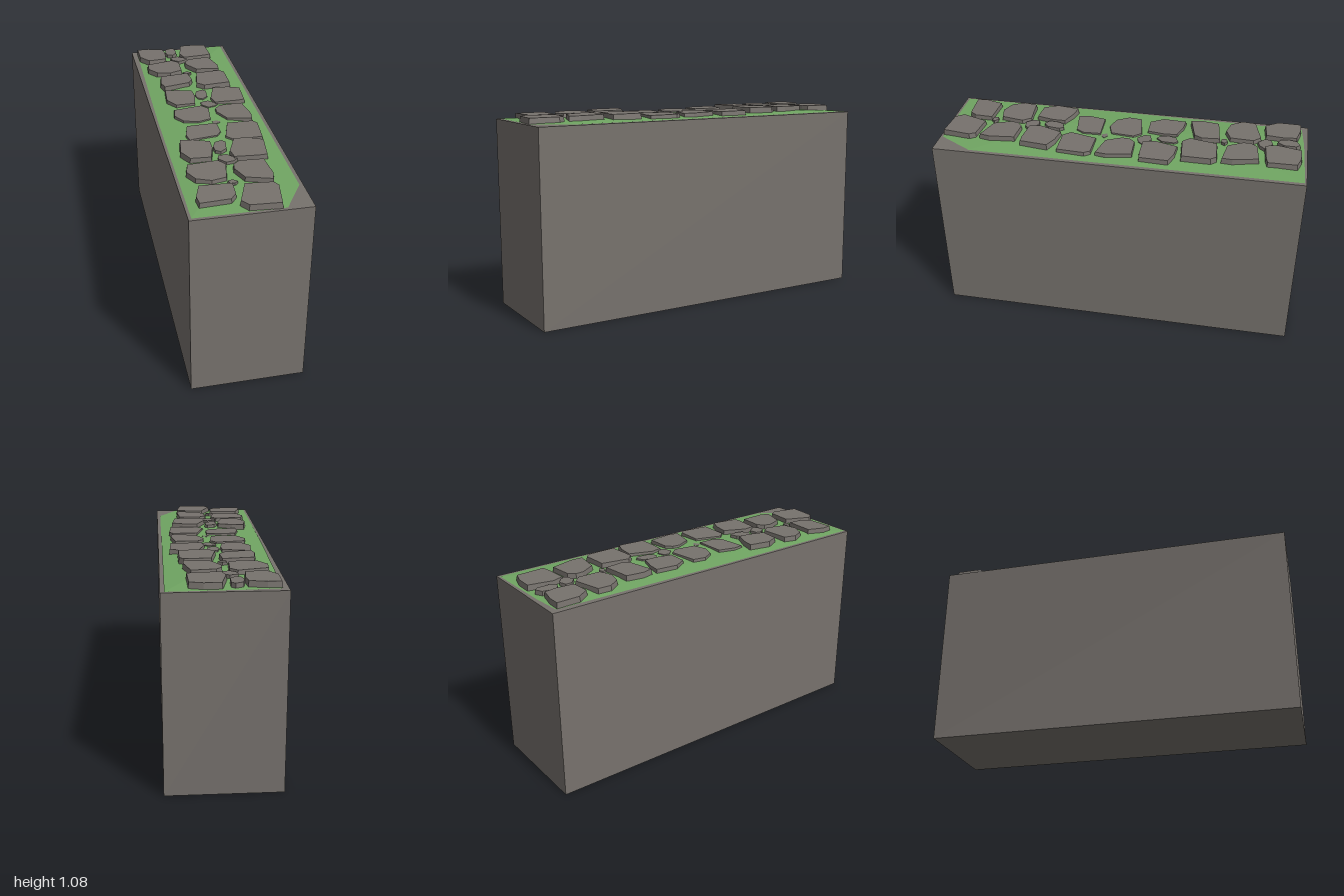
import * as THREE from 'three';
import { ConvexGeometry } from 'three/addons/geometries/ConvexGeometry.js';

const stoneMat = new THREE.MeshStandardMaterial({ color: 0x77726d });
stoneMat.name = 'stone grey';
const grassMat = new THREE.MeshStandardMaterial({ color: 0x70a562, flatShading: true, side: THREE.DoubleSide });
grassMat.name = 'grass green';

const BLOCK_TOP = 1.04;

// One cluster of paving stones: outlines as x, z pairs in hundredths, about the cluster centre.
const outlines = [
  { name: 'leftSlab', lift: 0, p: [-24, -31, -17, -31, -8, -29, -7, -22, -8, -12, -19, -11, -24, -18] },
  { name: 'pebble', lift: -0.006, p: [-6, -29, -2, -31, 0, -29, 0, -22, -3, -18.5, -6, -20, -7, -24] },
  { name: 'rightSlab', lift: 0.001, p: [4, -32, 13, -32, 20, -30, 20.5, -14, 16, -13, 3, -12, 1, -18.5] },
  { name: 'pebble', lift: -0.007, p: [-5, -15, -0.5, -16.5, 5, -12, 3, -9.5, -1, -8, -5, -11.5] },
  { name: 'leftSlab', lift: -0.002, p: [-21, -6, -5, -10, -1, -6, -1.5, 7, -9, 10, -17, 8, -21.5, 1.5] },
  { name: 'rightSlab', lift: 0.002, p: [5, -8.5, 18, -10, 21.5, 4, 21, 10, 7, 8, 2, -0.5, 2, -5] },
  { name: 'pebble', lift: -0.008, p: [-1.5, 9, 1, 8, 3.5, 9.5, 2, 11.5, -0.5, 11.5] },
  { name: 'leftSlab', lift: 0, p: [-16, 14, 1, 12, 2, 22, -0.5, 26.5, -16, 30, -17.5, 24] },
  { name: 'rightSlab', lift: 0.002, p: [6, 13, 20.5, 12, 23, 15, 23, 31, 7, 32.5, 3, 28.5] },
];

// A slab is the hull of its outline and a slightly inset top outline.
function makeSlab({ name, lift, p }) {
  const n = p.length / 2;
  let cx = 0, cz = 0;
  for (let i = 0; i < n; i++) {
    cx += p[2 * i] / n;
    cz += p[2 * i + 1] / n;
  }
  const points = [];
  for (let i = 0; i < n; i++) {
    const x = p[2 * i], z = p[2 * i + 1];
    points.push(new THREE.Vector3(x / 100, -0.03, z / 100));
    points.push(new THREE.Vector3((cx + (x - cx) * 0.96) / 100, lift, (cz + (z - cz) * 0.96) / 100));
  }
  const mesh = new THREE.Mesh(new ConvexGeometry(points), stoneMat);
  mesh.name = name;
  return mesh;
}

// Gently domed turf: an edge loop, a raised inner loop and a short central ridge.
function makeGrass() {
  const edge = [[-0.285, 0.985], [0.17, 0.985], [0.28, 0.8], [0.28, 0], [0.28, -0.99], [-0.1, -0.98], [-0.27, -0.965], [-0.285, 0]];
  const loops = [[1, 1, 1.042], [0.66, 0.85, 1.05], [0.3, 0.35, 1.056], [0, 0, 1.057]];
  const pos = [], index = [], n = edge.length;
  for (const [sx, sz, y] of loops)
    for (const [x, z] of edge) pos.push(x * sx, y, z * sz);
  for (let r = 0; r < loops.length - 1; r++)
    for (let i = 0; i < n; i++) {
      const a = r * n + i, b = r * n + (i + 1) % n;
      index.push(a, b, b + n);
      if (r < loops.length - 2) index.push(a, b + n, a + n);
    }
  const geo = new THREE.BufferGeometry();
  geo.setAttribute('position', new THREE.Float32BufferAttribute(pos, 3));
  geo.setIndex(index);
  geo.computeVertexNormals();
  const mesh = new THREE.Mesh(geo, grassMat);
  mesh.name = 'grass';
  return mesh;
}

export function createModel() {
  const model = new THREE.Group();
  model.name = 'pavedBlock';

  // Solid base
  const block = new THREE.Mesh(new THREE.BoxGeometry(0.6, BLOCK_TOP, 2), stoneMat);
  block.name = 'block';
  block.position.y = BLOCK_TOP / 2;
  model.add(block, makeGrass());

  // The cluster repeats three times, each turned and tilted a little
  const clusters = [
    { x: -0.03, y: 1.077, z: -0.65, turn: 0, tilt: -0.01 },
    { x: 0.02, y: 1.067, z: 0.003, turn: -0.08, tilt: 0.012 },
    { x: -0.03, y: 1.075, z: 0.645, turn: -0.16, tilt: 0.012 },
  ];
  for (const c of clusters) {
    const cluster = new THREE.Group();
    cluster.name = 'pavingCluster';
    cluster.position.set(c.x, c.y, c.z);
    cluster.rotation.set(c.tilt, c.turn, 0);
    for (const o of outlines) cluster.add(makeSlab(o));
    model.add(cluster);
  }
  return model;
}
